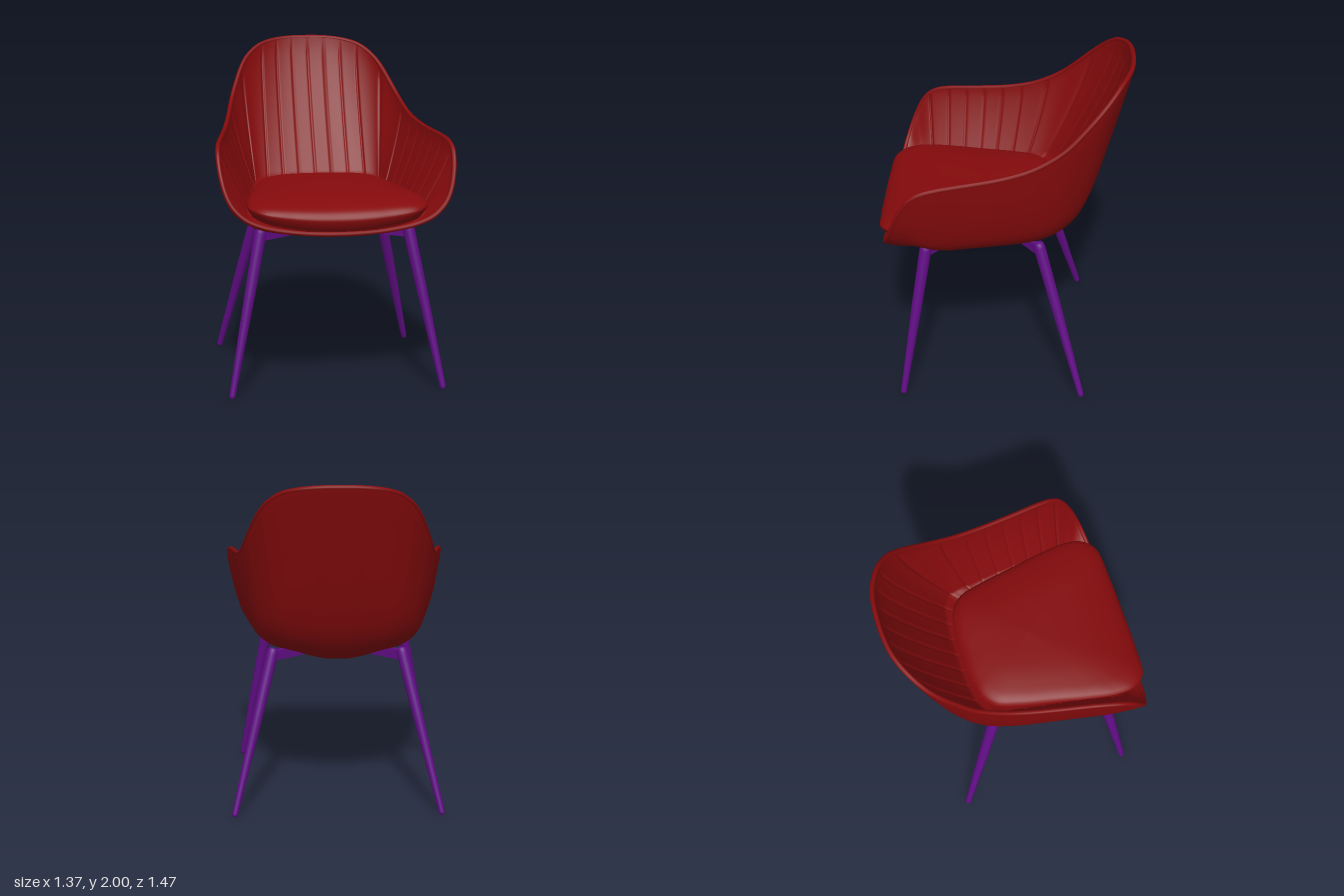
import * as THREE from 'three';

const red = new THREE.MeshStandardMaterial({ color: 0x840a0c, side: THREE.DoubleSide });
const purple = new THREE.MeshStandardMaterial({ color: 0x600d84 });
const COLS = 720;

// Half outlines run from back centre round the left side to front centre.
const RIM = [
  [0, 1.986, -0.732], [0.18, 1.977, -0.715], [0.32, 1.94, -0.655], [0.42, 1.855, -0.57],
  [0.485, 1.735, -0.455], [0.53, 1.63, -0.34], [0.57, 1.535, -0.16], [0.606, 1.487, 0.05],
  [0.644, 1.462, 0.28], [0.674, 1.435, 0.45], [0.681, 1.385, 0.53], [0.667, 1.26, 0.6],
  [0.622, 1.13, 0.65], [0.53, 1.04, 0.68], [0.35, 0.985, 0.697], [0, 0.96, 0.71],
];
// Where the inner wall meets the seat, matching RIM point by point
const SEAT_EDGE = [
  [0, 1.12, -0.31], [0.18, 1.12, -0.305], [0.32, 1.12, -0.28], [0.38, 1.11, -0.24],
  [0.395, 1.11, -0.205], [0.403, 1.11, -0.165], [0.415, 1.1, -0.08], [0.443, 1.1, 0.09],
  [0.468, 1.09, 0.29], [0.495, 1.08, 0.44], [0.505, 1.07, 0.5], [0.505, 1.05, 0.55],
  [0.48, 1.02, 0.58], [0.42, 0.99, 0.6], [0.3, 0.97, 0.6], [0, 0.96, 0.6],
];
const CUSHION = [
  [0, 0, -0.305], [0.17, 0, -0.295], [0.29, 0, -0.26], [0.365, 0, -0.19], [0.41, 0, -0.05],
  [0.45, 0, 0.15], [0.49, 0, 0.35], [0.512, 0, 0.52], [0.497, 0, 0.63], [0.43, 0, 0.705],
  [0.25, 0, 0.728], [0, 0, 0.733],
];

// Mirrors a half outline into a closed smooth curve
function mirroredLoop(half) {
  const left = half.map(p => new THREE.Vector3(...p));
  const right = left.slice(1, -1).reverse().map(p => new THREE.Vector3(-p.x, p.y, p.z));
  return new THREE.CatmullRomCurve3([...left, ...right], true);
}

const profile = pts => new THREE.SplineCurve(pts.map(p => new THREE.Vector2(...p)));

// Skins rows of closed rings; point(t, k) gives row t (0..1) at column k
function loft(rows, point) {
  const pos = [], idx = [];
  for (let r = 0; r <= rows; r++) {
    for (let k = 0; k < COLS; k++) {
      pos.push(...point(r / rows, k).toArray());
      if (r === rows) continue;
      const a = r * COLS + k, b = r * COLS + (k + 1) % COLS;
      idx.push(a, a + COLS, b, b, a + COLS, b + COLS);
    }
  }
  const g = new THREE.BufferGeometry();
  g.setAttribute('position', new THREE.Float32BufferAttribute(pos, 3));
  g.setIndex(idx);
  g.computeVertexNormals();
  return g;
}

function named(name, geometry, material) {
  const m = new THREE.Mesh(geometry, material);
  m.name = name;
  return m;
}

export function createModel() {
  const chair = new THREE.Group();
  chair.name = 'armchair';
  const ring = half => {
    const curve = mirroredLoop(half);
    return Array.from({ length: COLS }, (_, k) => curve.getPoint(k / COLS));
  };
  const rim = ring(RIM), edge = ring(SEAT_EDGE);
  const inward = rim.map((R, k) => edge[k].clone().sub(R).setY(0).normalize());

  // Outer shell: steep at the sides, leaning at the back, shallow at the front
  const backProfile = profile([[0, 0], [0.356, 0.01], [0.5, 0.055], [0.644, 0.18],
    [0.753, 0.37], [0.863, 0.635], [0.98, 0.94], [1, 1]]);
  const sideProfile = profile([[0, 0], [0.3, 0.025], [0.55, 0.068], [0.74, 0.12],
    [0.87, 0.26], [0.945, 0.55], [0.985, 0.85], [1, 1]]);
  const frontProfile = profile([[0, 0], [0.3, 0.1], [0.53, 0.24], [0.74, 0.4],
    [0.87, 0.57], [0.945, 0.76], [0.985, 0.93], [1, 1]]);
  const baseY = 0.903;
  const { clamp, lerp, smoothstep } = THREE.MathUtils;
  chair.add(named('outerShell', loft(28, (t, k) => {
    const R = rim[k];
    const back = clamp(-R.z / 0.72, 0, 1) ** 2.6;
    const front = R.z > 0 ? clamp((1.45 - R.y) / 0.36, 0, 1) : 0;
    const p = sideProfile.getPoint(t).lerp(backProfile.getPoint(t), back)
      .lerp(frontProfile.getPoint(t), front);
    return new THREE.Vector3(R.x * p.x, baseY + (R.y - baseY) * p.y, R.z * p.x);
  }), red));

  // Distance along the seat edge from back centre spaces the stitched channels
  const dist = [0];
  for (let k = 1; k <= COLS / 2; k++) dist[k] = dist[k - 1] + edge[k].distanceTo(edge[k - 1]);

  // Inner padding with stitched grooves, then a floor under the cushion
  const floor = new THREE.Vector3(0, 0.98, 0.15);
  const wall = 20 / 23;
  chair.add(named('innerPadding', loft(23, (t, k) => {
    const R = rim[k], E = edge[k];
    if (t > wall) return E.clone().lerp(floor, (t - wall) / (1 - wall));
    const s = t / wall;
    const start = R.clone().addScaledVector(inward[k], 0.025);
    const c = dist[Math.min(k, COLS - k)] / 0.103;
    const d = Math.abs(c - Math.round(c));
    const fade = smoothstep(s, 0.02, 0.12) * (c < 11.5 ? 1 : 0);
    const f = Math.pow(s, 1.3);
    return new THREE.Vector3(
      lerp(start.x, E.x, f), lerp(start.y, E.y, s), lerp(start.z, E.z, f),
    ).addScaledVector(inward[k], -0.01 * fade * Math.exp(-((d / 0.055) ** 2)));
  }), red));

  // Rounded edge of the shell
  const edgeLine = new THREE.CatmullRomCurve3(rim
    .map((R, k) => R.clone().addScaledVector(inward[k], 0.012))
    .filter((_, k) => k % 12 === 0), true);
  chair.add(named('rimPiping', new THREE.TubeGeometry(edgeLine, 300, 0.014, 10, true), red));

  // Seat cushion: domed, thinning and rising towards the sides
  const outline = ring(CUSHION);
  const pillow = profile([[0, -0.07], [0.85, -0.07], [0.95, -0.055], [1, 0], [0.985, 0.033],
    [0.93, 0.063], [0.8, 0.09], [0.5, 0.117], [0, 0.127]]);
  chair.add(named('seatCushion', loft(30, (t, k) => {
    const p = pillow.getPoint(t);
    const x = outline[k].x * p.x, z = 0.12 + (outline[k].z - 0.12) * p.x;
    const y = 1.063 - 0.045 * z + 0.22 * x * x + p.y * (1 - 1.5 * x * x);
    return new THREE.Vector3(x, y, z);
  }), red));

  // Tapered splayed legs with rounded ends
  const legs = [
    ['front', [0.425, 0.955, 0.452], [0.615, 0.005, 0.605]],
    ['rear', [0.38, 0.955, -0.2], [0.615, 0.005, -0.475]],
  ];
  const up = new THREE.Vector3(0, 1, 0);
  for (const [end, top, foot] of legs) {
    for (const side of [1, -1]) {
      const a = new THREE.Vector3(foot[0] * side, foot[1], foot[2]);
      const b = new THREE.Vector3(top[0] * side, top[1], top[2]);
      const L = a.distanceTo(b);
      const pts = [[0, 0], [0.011, 0.002], [0.016, 0.01], [0.018, 0.02], [0.031, L * 0.6],
        [0.035, L - 0.03], [0.03, L - 0.005], [0.022, L + 0.006], [0, L + 0.01]];
      const leg = named(end + (side > 0 ? 'LeftLeg' : 'RightLeg'),
        new THREE.LatheGeometry(pts.map(p => new THREE.Vector2(...p)), 24), purple);
      leg.position.copy(a);
      leg.quaternion.setFromUnitVectors(up, b.sub(a).normalize());
      chair.add(leg);
    }
  }

  // Crossed braces joining opposite legs
  for (const side of [1, -1]) {
    const dx = 0.815 * side, dz = 0.655;
    const bar = named('crossBrace', new THREE.BoxGeometry(0.03, 0.06, Math.hypot(dx, dz)), purple);
    bar.position.set(0.02 * side, 0.915, 0.125);
    bar.rotation.y = Math.atan2(dx, dz);
    chair.add(bar);
  }
  return chair;
}
